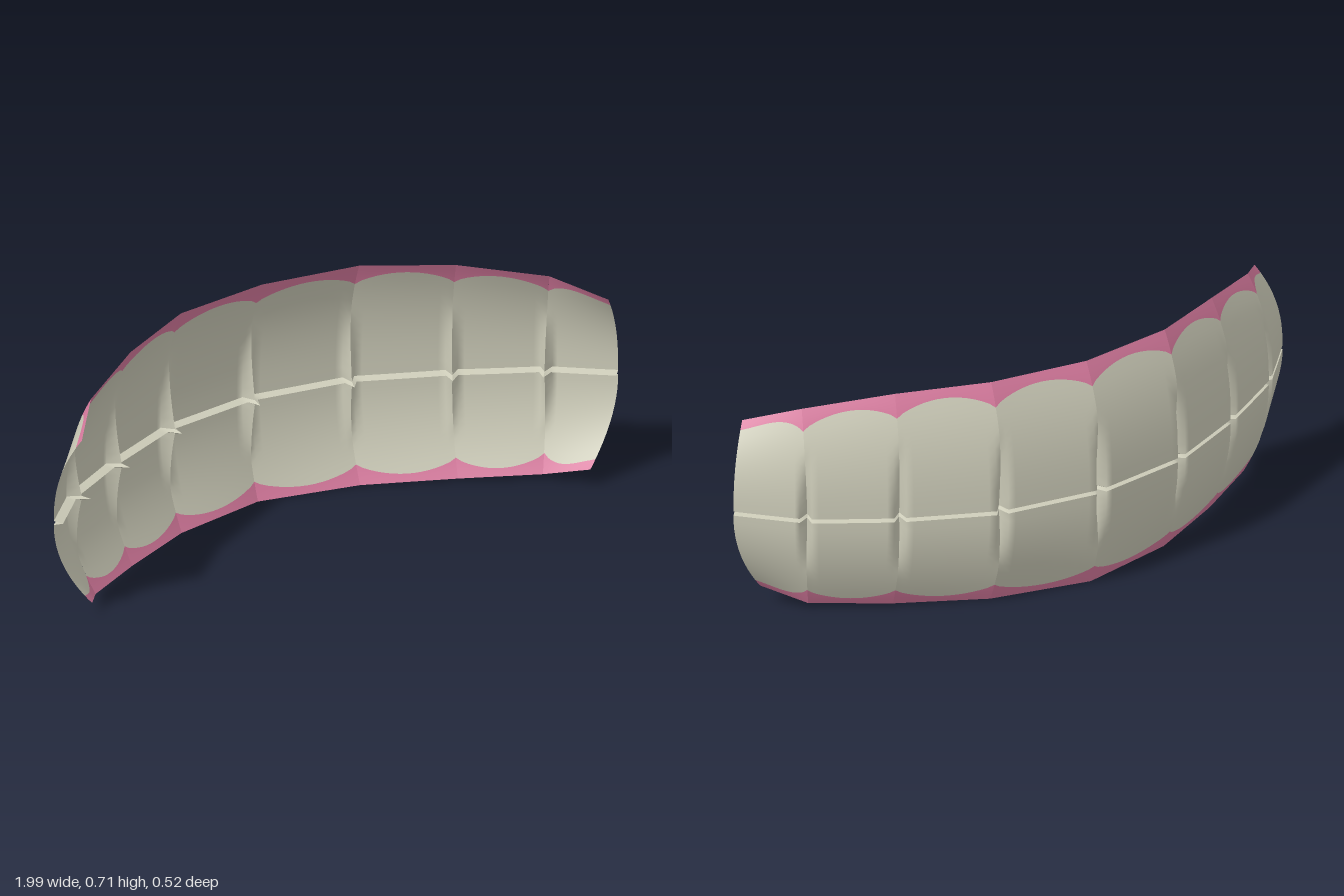
import * as THREE from 'three';

// Stations along the arch at the tooth boundaries, from the middle to the end:
// outermost point at the bite, upper rim, lower rim, inward direction
const STATIONS = [
  { mid: [0, -0.263], top: [0, 0.71, -0.183], low: [0, 0, -0.205], dir: [0, 1] },
  { mid: [0.325, -0.215], top: [0.315, 0.71, -0.14], low: [0.315, 0.002, -0.135], dir: [-0.3, 0.95] },
  { mid: [0.605, -0.085], top: [0.575, 0.695, -0.015], low: [0.575, 0.008, -0.005], dir: [-0.5, 0.86] },
  { mid: [0.845, 0.06], top: [0.81, 0.655, 0.13], low: [0.79, 0.018, 0.125], dir: [-0.65, 0.75] },
  { mid: [0.997, 0.215], top: [0.93, 0.6, 0.264], low: [0.88, 0.055, 0.243], dir: [-0.7, 0.7] },
];
const NOTCH_WIDTH = 0.018, NOTCH_DEPTH = 0.042, BITE_DEPTH = 0.028, BITE_HALF = 0.0065;
const CROWN_ROWS = 10, GUM_ROWS = 3;

const lerp = THREE.MathUtils.lerp;
const mix = (a, b, s) => a.map((v, i) => lerp(v, b[i], s));
const biteHeight = (x) => 0.315 + 0.017 * x ** 4;

// Grid of points [row][column] turned into a smooth sheet
function sheet(rows, flip) {
  const n = rows[0].length, index = [];
  for (let r = 0; r < rows.length - 1; r++) {
    for (let c = 0; c < n - 1; c++) {
      const a = r * n + c, b = a + 1, d = a + n, e = d + 1;
      index.push(...(flip ? [a, b, d, b, e, d] : [a, d, b, b, d, e]));
    }
  }
  const geo = new THREE.BufferGeometry();
  geo.setAttribute('position', new THREE.Float32BufferAttribute(rows.flat(2), 3));
  geo.setIndex(index);
  geo.computeVertexNormals();
  return geo;
}

// Point on a tooth: s runs along the arch, t from the bite (0) to the rim (1)
function toothPoint(i, s, t, upper, inset = 0) {
  const A = STATIONS[i], B = STATIONS[i + 1];
  const mid = mix(A.mid, B.mid, s), dir = mix(A.dir, B.dir, s);
  const rim = upper ? mix(A.top, B.top, s) : mix(A.low, B.low, s);
  const gap = inset > 0 ? 0 : BITE_HALF * (upper ? 1 : -1);
  const curve = t ** (upper ? 2.4 : 2);
  const atBoundary = s === 0 || (s === 1 && i < 3);
  const depth = inset + (atBoundary ? NOTCH_DEPTH * Math.max(0, 1 - t / 0.6) : 0);
  return [
    lerp(mid[0], rim[0], curve) + dir[0] * depth,
    lerp(biteHeight(mid[0]) + gap, rim[1], t),
    lerp(mid[1], rim[2], curve) + dir[1] * depth,
  ];
}

// Scalloped gum line, as a share of the tooth height
function gumLine(i, s) {
  const edge = i === 3 ? lerp(0.068, 0.035, s) : 0.066;
  const width = lerp(edge, 0.026, Math.sin(Math.PI * s) ** 0.7);
  return 1 - width / 0.36;
}

export function createModel() {
  const enamel = new THREE.MeshStandardMaterial({ color: 0xcccbb8, side: THREE.DoubleSide });
  enamel.name = 'enamel';
  const gum = new THREE.MeshStandardMaterial({ color: 0xd97b9f, side: THREE.DoubleSide });
  gum.name = 'gum pink';

  const model = new THREE.Group();
  model.name = 'teeth';
  for (const side of [1, -1]) {
    for (const upper of [true, false]) {
      const row = new THREE.Group();
      row.name = `${upper ? 'upper' : 'lower'}${side > 0 ? 'Left' : 'Right'}Teeth`;
      model.add(row);
      const flip = (side > 0) !== upper;
      for (let i = 0; i < 4; i++) {
        const a = STATIONS[i].mid, b = STATIONS[i + 1].mid;
        const d = NOTCH_WIDTH / Math.hypot(b[0] - a[0], b[1] - a[1]);
        const columns = [0, d];
        for (let k = 1; k < 12; k++) columns.push(lerp(d, 1 - d, k / 12));
        columns.push(1 - d, 1);
        const place = ([x, y, z]) => [x * side, y, z];

        // Crown and gum share one smooth sheet, split at the gum line
        const rows = [];
        for (let r = 0; r <= CROWN_ROWS + GUM_ROWS; r++) {
          rows.push(columns.map((s) => {
            const g = gumLine(i, s);
            const t = r <= CROWN_ROWS ? (g * r) / CROWN_ROWS : lerp(g, 1, (r - CROWN_ROWS) / GUM_ROWS);
            return place(toothPoint(i, s, t, upper));
          }));
        }
        const geo = sheet(rows, flip);
        const perRow = (columns.length - 1) * 6;
        geo.addGroup(0, perRow * CROWN_ROWS, 0);
        geo.addGroup(perRow * CROWN_ROWS, perRow * GUM_ROWS, 1);
        const tooth = new THREE.Mesh(geo, [enamel, gum]);
        tooth.name = 'toothWithGum';
        row.add(tooth);

        // Flank of the groove where the upper and lower teeth meet
        const flank = [BITE_DEPTH, 0].map((inset) =>
          columns.map((s) => place(toothPoint(i, s, 0, upper, inset))));
        const bite = new THREE.Mesh(sheet(flank, flip), enamel);
        bite.name = 'bitingEdge';
        row.add(bite);
      }
    }
  }
  return model;
}
